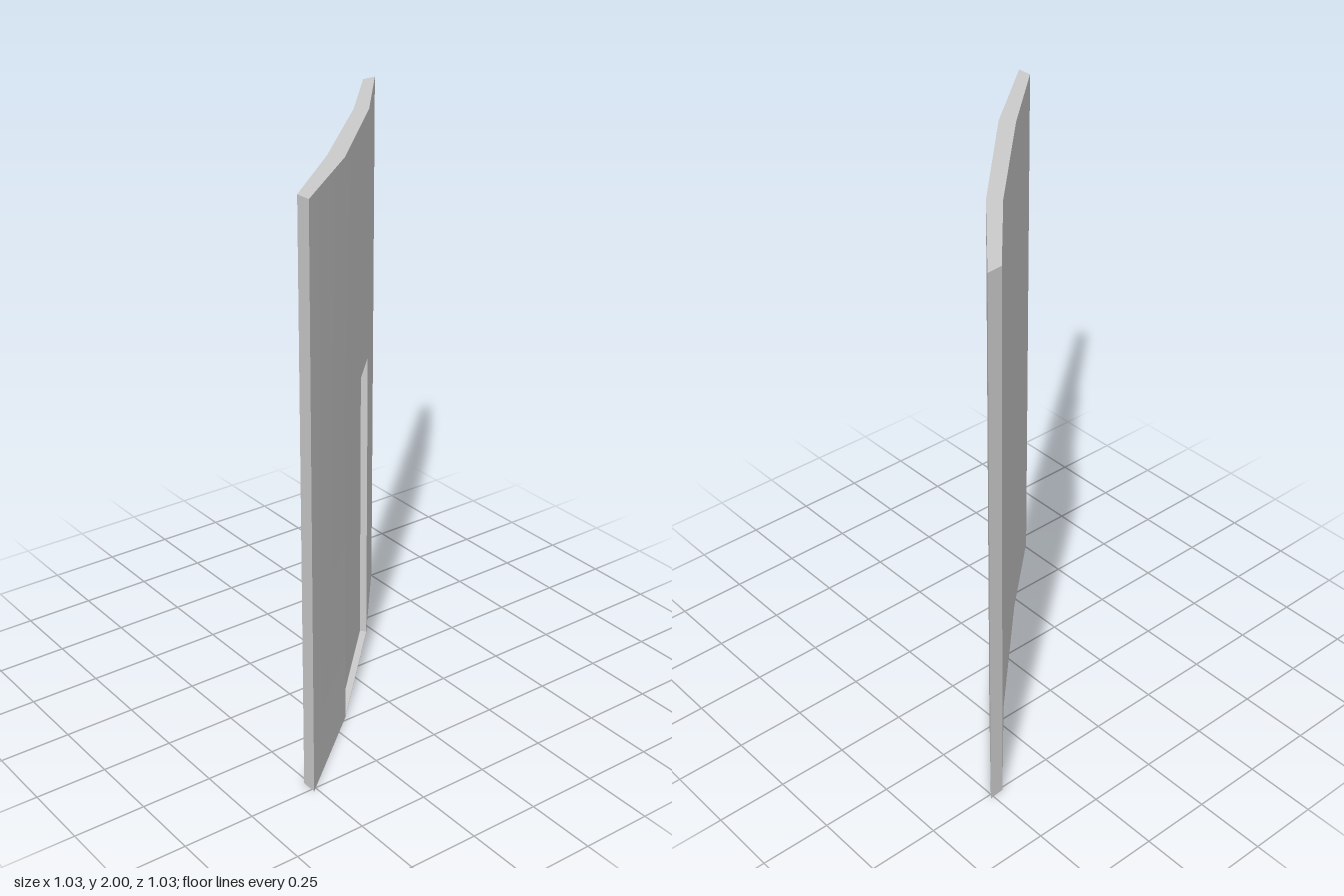
import * as THREE from 'three';
import { toCreasedNormals } from 'three/addons/utils/BufferGeometryUtils.js';

const HEIGHT = 2, RECESS_TOP = 1.115, SILL = 0.002;

// Plan corners [x, z] of the curved wall, from left to right seen from its outer side
const outer = [[-0.515, 0.513], [-0.18, 0.235], [0.222, -0.17], [0.513, -0.515]];
const inner = [[-0.515, 0.457], [-0.215, 0.19], [0.185, -0.205], [0.457, -0.51]];
const recess = [[-0.197, 0.219], [0.205, -0.187]];

// Collects quads into one surface
function surface() {
  const pos = [];
  const quad = (a, b, c, d) => pos.push(...a, ...b, ...c, ...a, ...c, ...d);
  return {
    // upright panel, p left and q right as seen from outside
    panel(p, q, y0, y1) {
      quad([p[0], y0, p[1]], [q[0], y0, q[1]], [q[0], y1, q[1]], [p[0], y1, p[1]]);
    },
    // level strip between an outer edge a-b and an inner edge d-c
    strip(a, b, c, d, y, up) {
      const v = [a, b, c, d].map(([x, z]) => [x, y, z]);
      quad(...(up ? v : v.reverse()));
    },
    mesh(name) {
      const geometry = new THREE.BufferGeometry();
      geometry.setAttribute('position', new THREE.Float32BufferAttribute(pos, 3));
      const mesh = new THREE.Mesh(
        toCreasedNormals(geometry, Math.PI / 6),
        new THREE.MeshStandardMaterial({ color: 0xcccccc }),
      );
      mesh.name = name;
      return mesh;
    },
  };
}

export function createModel() {
  const group = new THREE.Group();
  group.name = 'curvedWallSegment';

  // Wall: outer and inner faces, top and underside
  const wall = surface();
  for (let i = 0; i < 3; i++) {
    const j = i + 1;
    if (i !== 1) wall.panel(outer[i], outer[j], 0, RECESS_TOP);
    wall.panel(outer[i], outer[j], RECESS_TOP, HEIGHT);
    wall.panel(inner[j], inner[i], 0, HEIGHT);
    wall.strip(outer[i], outer[j], inner[j], inner[i], HEIGHT, true);
    wall.strip(outer[i], outer[j], inner[j], inner[i], 0, false);
  }
  // End faces
  wall.panel(inner[0], outer[0], 0, HEIGHT);
  wall.panel(outer[3], inner[3], 0, HEIGHT);
  group.add(wall.mesh('wall'));

  // Shallow doorway recess: back panel, jambs, lintel and thin sill
  const door = surface();
  door.panel(recess[0], recess[1], SILL, RECESS_TOP);
  door.panel(outer[1], recess[0], SILL, RECESS_TOP);
  door.panel(recess[1], outer[2], SILL, RECESS_TOP);
  door.strip(outer[1], outer[2], recess[1], recess[0], RECESS_TOP, false);
  door.strip(outer[1], outer[2], recess[1], recess[0], SILL, true);
  door.panel(outer[1], outer[2], 0, SILL);
  group.add(door.mesh('doorRecess'));

  return group;
}
